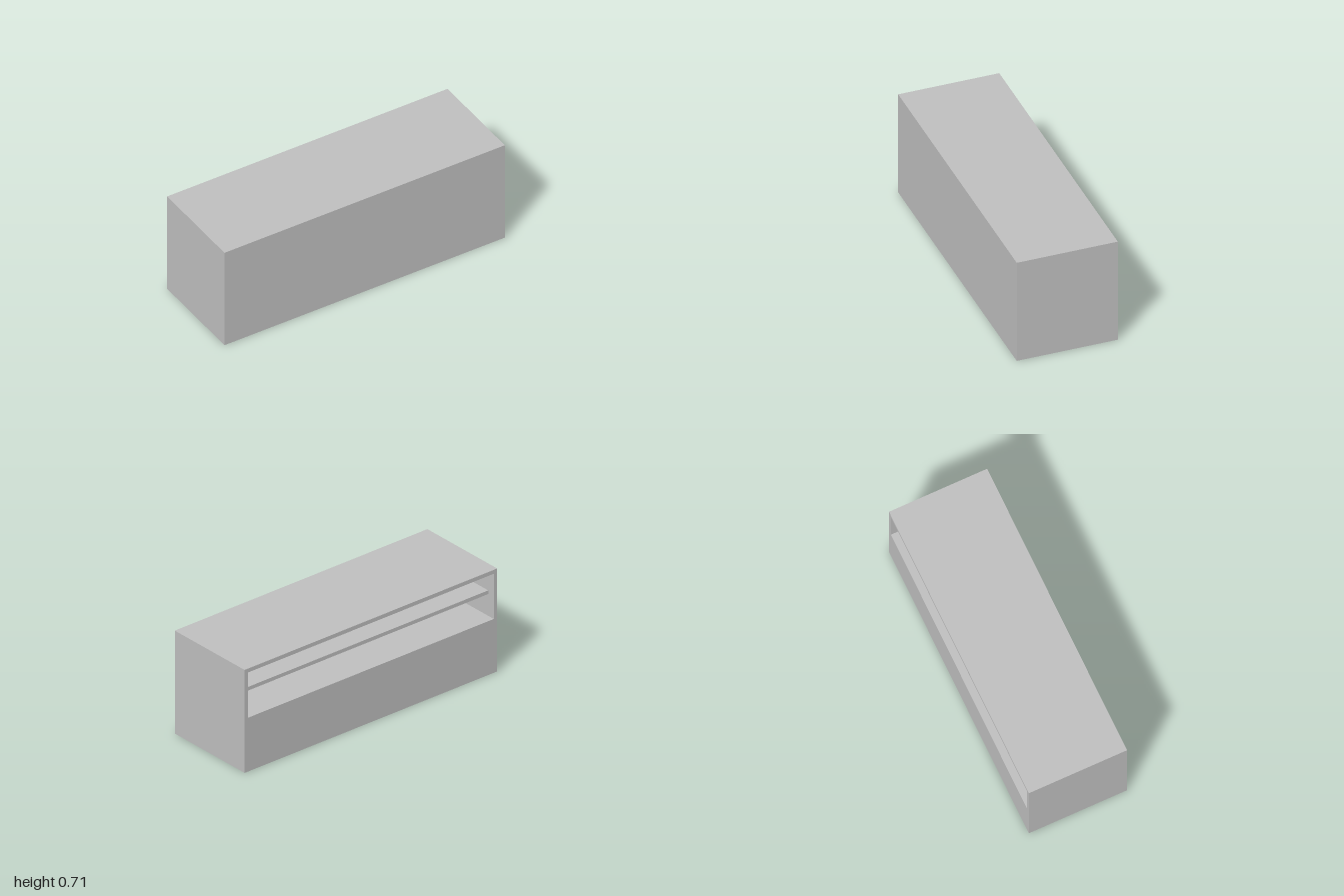
import * as THREE from 'three';

// Long reception-style counter: closed front, open shelf compartment at the back.
export function createModel() {
  const W = 2, H = 0.708, D = 0.655; // overall size
  const T = 0.027;                   // panel thickness
  const FLOOR = 0.37;                // height of the compartment floor

  const grey = new THREE.MeshStandardMaterial({ color: 0xbfbfbf });
  grey.name = 'grey';

  const model = new THREE.Group();
  model.name = 'counter';

  // Box given by its minimum and maximum corners
  const addBox = (name, [x0, y0, z0], [x1, y1, z1]) => {
    const mesh = new THREE.Mesh(new THREE.BoxGeometry(x1 - x0, y1 - y0, z1 - z0), grey);
    mesh.position.set((x0 + x1) / 2, (y0 + y1) / 2, (z0 + z1) / 2);
    mesh.name = name;
    model.add(mesh);
  };

  // Carcass: frame profile with the compartment cut out, extruded front to back
  const outline = new THREE.Shape([
    new THREE.Vector2(-W / 2, 0), new THREE.Vector2(W / 2, 0),
    new THREE.Vector2(W / 2, H), new THREE.Vector2(-W / 2, H),
  ]);
  const inner = W / 2 - T;
  outline.holes.push(new THREE.Path([
    new THREE.Vector2(-inner, FLOOR), new THREE.Vector2(-inner, H - T),
    new THREE.Vector2(inner, H - T), new THREE.Vector2(inner, FLOOR),
  ]));
  const carcass = new THREE.Mesh(
    new THREE.ExtrudeGeometry(outline, { depth: D - T, bevelEnabled: false }), grey);
  carcass.position.z = -D / 2;
  carcass.name = 'carcass';
  model.add(carcass);

  // Closed front panel
  addBox('frontPanel', [-W / 2, 0, D / 2 - T], [W / 2, H, D / 2]);

  // Shelf, set back a little from the opening
  addBox('shelf', [-inner, 0.52, -D / 2 + 0.052], [inner, 0.545, D / 2 - T]);

  return model;
}
